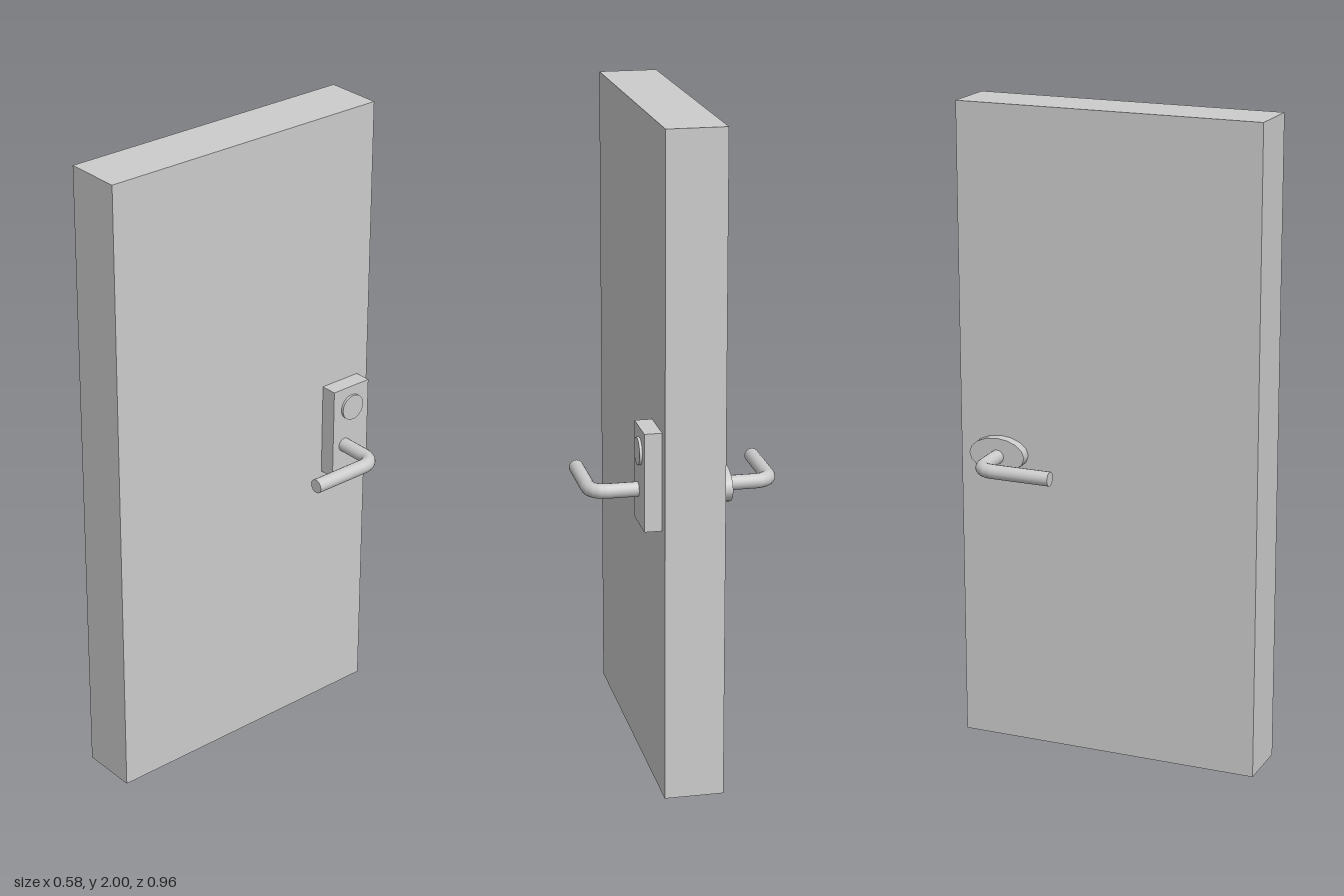
import * as THREE from 'three';

const material = new THREE.MeshStandardMaterial({ color: 0xcccccc });

function addMesh(parent, name, geometry, x = 0, y = 0, z = 0) {
  const mesh = new THREE.Mesh(geometry, material);
  mesh.name = name;
  mesh.position.set(x, y, z);
  parent.add(mesh);
  return mesh;
}

// Bent lever: a stub out of the door, a rounded elbow, then a grip along +z
function createLever(name, side) {
  const lever = new THREE.Group();
  lever.name = name;
  const radius = 0.022, bend = 0.045, steps = 4;
  const axisZ = -0.347, gripX = 0.268, endZ = -0.11;
  const points = [new THREE.Vector3(side * 0.1, 0, axisZ)];
  for (let i = 0; i <= steps; i++) {
    const a = (i / steps) * Math.PI / 2;
    points.push(new THREE.Vector3(
      side * (gripX - bend + bend * Math.sin(a)), 0, axisZ + bend - bend * Math.cos(a)));
  }
  points.push(new THREE.Vector3(side * gripX, 0, endZ));
  const path = new THREE.CurvePath();
  for (let i = 1; i < points.length; i++) path.add(new THREE.LineCurve3(points[i - 1], points[i]));
  addMesh(lever, 'leverBar', new THREE.TubeGeometry(path, 48, radius, 16));
  addMesh(lever, 'leverEnd', new THREE.CircleGeometry(radius, 16), side * gripX, 0, endZ);
  lever.position.y = 0.926;
  return lever;
}

export function createModel() {
  const model = new THREE.Group();
  model.name = 'door';

  // Door leaf
  addMesh(model, 'doorLeaf', new THREE.BoxGeometry(0.178, 2, 0.96), -0.011, 1, 0);

  // Lock plate with round key cylinder on the left side
  addMesh(model, 'lockPlate', new THREE.BoxGeometry(0.06, 0.295, 0.139), 0.1, 0.973, -0.371);
  const lock = new THREE.CylinderGeometry(0.041, 0.041, 0.028, 24).rotateZ(-Math.PI / 2);
  addMesh(model, 'keyCylinder', lock, 0.124, 1.05, -0.373);

  // Oval rosette on the right side
  const rosette = new THREE.CylinderGeometry(1, 1, 0.042, 16).rotateZ(Math.PI / 2);
  rosette.scale(1, 0.054, 0.091);
  addMesh(model, 'rosette', rosette, -0.111, 0.931, -0.348);

  // Levers on both sides
  model.add(createLever('leftLever', 1), createLever('rightLever', -1));
  return model;
}
